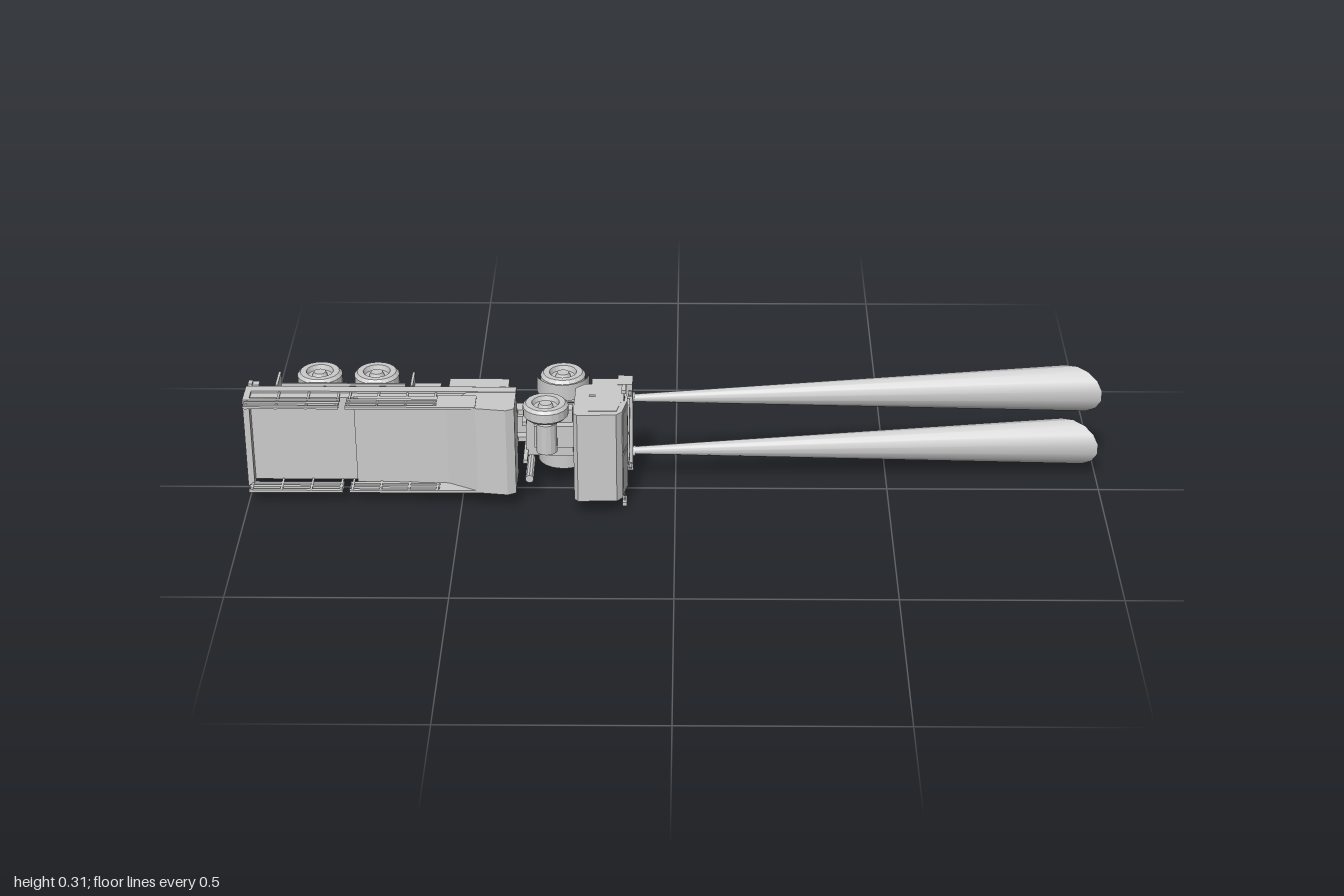
import * as THREE from 'three';

// The truck lies on its side: forward is +x, its roof faces +z, its width runs along y.
const MID = 0.155;

export function createModel() {
  const root = new THREE.Group();
  const mat = new THREE.MeshStandardMaterial({ color: 0xcccccc, flatShading: true });
  const thin = new THREE.MeshStandardMaterial({ color: 0xcccccc, side: THREE.DoubleSide });

  const add = (name, geo, m = mat) => {
    const mesh = new THREE.Mesh(geo, m);
    mesh.name = name;
    root.add(mesh);
    return mesh;
  };
  // Box from its limits; y limits are offsets from the centre line
  const box = (name, x0, x1, y0, y1, z0, z1) => add(name,
    new THREE.BoxGeometry(x1 - x0, y1 - y0, z1 - z0)
      .translate((x0 + x1) / 2, MID + (y0 + y1) / 2, (z0 + z1) / 2));
  const pair = (name, x0, x1, y0, y1, z0, z1) => {
    box(name, x0, x1, y0, y1, z0, z1);
    box(name, x0, x1, -y1, -y0, z0, z1);
  };
  // Side profile in x and z, swept across the width
  const sweep = (name, pts, y0, y1) => add(name,
    new THREE.ExtrudeGeometry(new THREE.Shape(pts.map(p => new THREE.Vector2(...p))),
      { depth: y1 - y0, bevelEnabled: false }).rotateX(Math.PI / 2).translate(0, MID + y1, 0));
  const rod = (name, a, b, r, sides = 8) => {
    const A = new THREE.Vector3(...a), B = new THREE.Vector3(...b), d = B.clone().sub(A);
    const mesh = add(name, new THREE.CylinderGeometry(r, r, d.length(), sides));
    mesh.position.copy(A).add(B).multiplyScalar(0.5);
    mesh.quaternion.setFromUnitVectors(new THREE.Vector3(0, 1, 0), d.normalize());
    return mesh;
  };
  // Wheel: tyre, dished rim and hub, outer face towards side s
  const wheel = (name, x, y, z, s, w) => {
    const h = w / 2;
    const pts = [[0, -h * 0.6], [0.03, -h * 0.6], [0.032, -h], [0.046, -h], [0.053, -h * 0.6],
      [0.053, h * 0.6], [0.046, h], [0.032, h], [0.028, h * 0.4], [0.018, h * 0.4],
      [0.014, h * 0.9], [0, h * 0.9]];
    const mesh = add(name, new THREE.LatheGeometry(pts.map(p => new THREE.Vector2(...p)), 20));
    mesh.position.set(x, y, z);
    if (s < 0) mesh.rotation.x = Math.PI;
  };

  // Cab
  sweep('cab', [[-0.232, 0.0], [-0.212, -0.02], [-0.115, -0.02], [-0.11, 0.06], [-0.122, 0.118],
    [-0.135, 0.133], [-0.225, 0.135], [-0.234, 0.125]], -0.113, 0.113);
  for (const s of [-1, 1]) {
    const c = s * 0.055;
    sweep('windshield', [[-0.118, 0.068], [-0.11, 0.068], [-0.12, 0.117], [-0.128, 0.117]], c - 0.05, c + 0.05);
    sweep('sideWindow', [[-0.2, 0.07], [-0.125, 0.07], [-0.135, 0.115], [-0.2, 0.115]],
      s * 0.113 - 0.001, s * 0.113 + 0.001);
    // Mirror on two arms
    for (const z of [0.05, 0.062])
      rod('mirrorArm', [-0.118, MID + s * 0.112, z], [-0.118, MID + s * 0.146, z + 0.016], 0.0015, 6);
    rod('wiper', [-0.106, MID + s * 0.02, 0.062], [-0.11, MID + s * 0.05, 0.09], 0.001, 5);
  }
  pair('mirror', -0.123, -0.113, 0.143, 0.153, 0.055, 0.087);
  pair('doorHandle', -0.2, -0.185, 0.112, 0.115, 0.035, 0.042);
  pair('cabStep', -0.195, -0.13, 0.09, 0.113, -0.05, -0.02);
  box('grille', -0.114, -0.107, -0.08, 0.08, -0.012, 0.02);
  box('bumper', -0.135, -0.1, -0.114, 0.114, -0.064, -0.016);
  for (const s of [-1, 1]) {
    rod('headlamp', [-0.105, MID + s * 0.072, -0.035], [-0.095, MID + s * 0.072, -0.035], 0.012, 12);
    rod('markerLamp', [-0.11, MID + s * 0.096, -0.007], [-0.103, MID + s * 0.096, -0.007], 0.007, 10);
    // Arched front mudguard
    add('frontMudguard', new THREE.CylinderGeometry(0.062, 0.062, 0.042, 14, 1, true, -Math.PI / 2, Math.PI), thin)
      .position.set(-0.265, MID + s * 0.09, -0.08);
  }

  // Light beams: obliquely cut open cones
  const SIDES = 14;
  for (const s of [-1, 1]) {
    const pos = [], index = [];
    for (let i = 0; i <= SIDES; i++) {
      const a = i / SIDES * Math.PI * 2, c = Math.cos(a), n = Math.sin(a);
      pos.push(-0.098, MID + s * 0.07 + 0.009 * c, -0.035 + 0.009 * n);
      pos.push(0.942 + 0.058 * n, MID + s * 0.071 + 0.057 * c, -0.09 + 0.043 * n);
      if (i < SIDES) {
        const k = i * 2;
        index.push(k, k + 2, k + 1, k + 1, k + 2, k + 3);
      }
    }
    const g = new THREE.BufferGeometry();
    g.setAttribute('position', new THREE.Float32BufferAttribute(pos, 3));
    g.setIndex(index);
    g.computeVertexNormals();
    add('lightBeam', g, thin);
  }

  // Chassis frame
  pair('frameRail', -0.99, -0.12, 0.03, 0.042, -0.06, -0.025);
  for (const x of [-0.97, -0.77, -0.6, -0.45, -0.33, -0.2])
    box('crossMember', x - 0.01, x + 0.01, -0.03, 0.03, -0.055, -0.03);
  box('engine', -0.33, -0.15, -0.028, 0.028, -0.07, 0.03);
  rod('airFilter', [-0.3, MID - 0.03, 0.04], [-0.3, MID + 0.045, 0.04], 0.025, 14);
  box('engineTray', -0.35, -0.24, -0.06, 0.06, -0.02, 0.01);
  pair('gapPost', -0.355, -0.345, 0.045, 0.055, -0.03, 0.06);
  rod('exhaust', [-0.34, MID - 0.085, -0.02], [-0.34, MID - 0.085, 0.08], 0.01, 10);
  box('gearbox', -0.45, -0.33, -0.022, 0.022, -0.075, -0.03);
  rod('driveShaft', [-0.45, MID, -0.065], [-0.84, MID, -0.08], 0.007, 8);

  // Axles and wheels
  for (const x of [-0.837, -0.703, -0.265]) {
    rod('axle', [x, MID - 0.09, -0.084], [x, MID + 0.09, -0.084], 0.01, 10);
    add('differential', new THREE.SphereGeometry(0.024, 10, 8)).position.set(x, MID, -0.084);
    pair('leafSpring', x - 0.055, x + 0.055, 0.044, 0.054, -0.072, -0.062);
    for (const s of [-1, 1]) wheel('wheel', x, MID + s * 0.094, -0.084, s, 0.038);
  }
  wheel('spareWheel', -0.3, MID + 0.087, 0.055, 1, 0.036);
  box('spareWheelBracket', -0.32, -0.28, 0.04, 0.07, -0.03, 0.055);

  // Tanks and boxes under the bed
  box('fuelTank', -0.53, -0.39, 0.05, 0.098, -0.075, -0.022);
  box('toolBox', -0.62, -0.55, 0.05, 0.09, -0.068, -0.024);
  box('batteryBox', -0.47, -0.39, -0.1, -0.05, -0.075, -0.022);
  for (const z of [-0.06, -0.035])
    rod('airTank', [-0.61, MID - 0.07, z], [-0.5, MID - 0.07, z], 0.013, 10);

  // Dump bed: floor, tail frame and raised forward cover
  pair('subframe', -0.99, -0.37, 0.03, 0.045, -0.025, 0.0);
  box('bedFloor', -0.99, -0.37, -0.108, 0.108, 0.0, 0.042);
  for (let i = 0; i < 9; i++)
    box('bedRib', -0.97 + i * 0.07, -0.955 + i * 0.07, -0.11, 0.11, -0.012, 0.02);
  sweep('cargoCover', [[-0.745, 0.04], [-0.5, 0.04], [-0.47, 0.0], [-0.37, 0.0], [-0.37, 0.1],
    [-0.39, 0.11], [-0.46, 0.1], [-0.53, 0.062], [-0.745, 0.05]], -0.111, 0.111);
  box('tailGate', -1, -0.985, -0.113, 0.113, -0.005, 0.065);
  pair('bedSill', -0.99, -0.37, 0.106, 0.113, -0.005, 0.02);

  // Slatted side rails in two sections
  for (const [x0, x1] of [[-0.995, -0.775], [-0.76, -0.55]]) {
    for (const z of [0.056, 0.072, 0.09])
      pair('sideRail', x0, x1, 0.107, 0.113, z, z + 0.008);
    for (let i = 0; i < 4; i++) {
      const x = x0 + 0.004 + i * (x1 - x0 - 0.012) / 3;
      pair('railPost', x, x + 0.005, 0.106, 0.111, 0.02, 0.098);
    }
  }
  pair('frontRailBlock', -0.55, -0.46, 0.106, 0.113, 0.04, 0.098);

  // Rear end
  box('rearBumper', -0.995, -0.975, -0.1, 0.1, -0.055, -0.035);
  pair('rearLamp', -1, -0.99, 0.075, 0.105, -0.05, -0.03);
  for (const x of [-0.93, -0.615])
    pair('mudFlap', x - 0.003, x + 0.003, 0.07, 0.113, -0.08, -0.01);
  pair('rearMudguard', -0.92, -0.63, 0.075, 0.112, -0.025, -0.02);
  return root;
}
